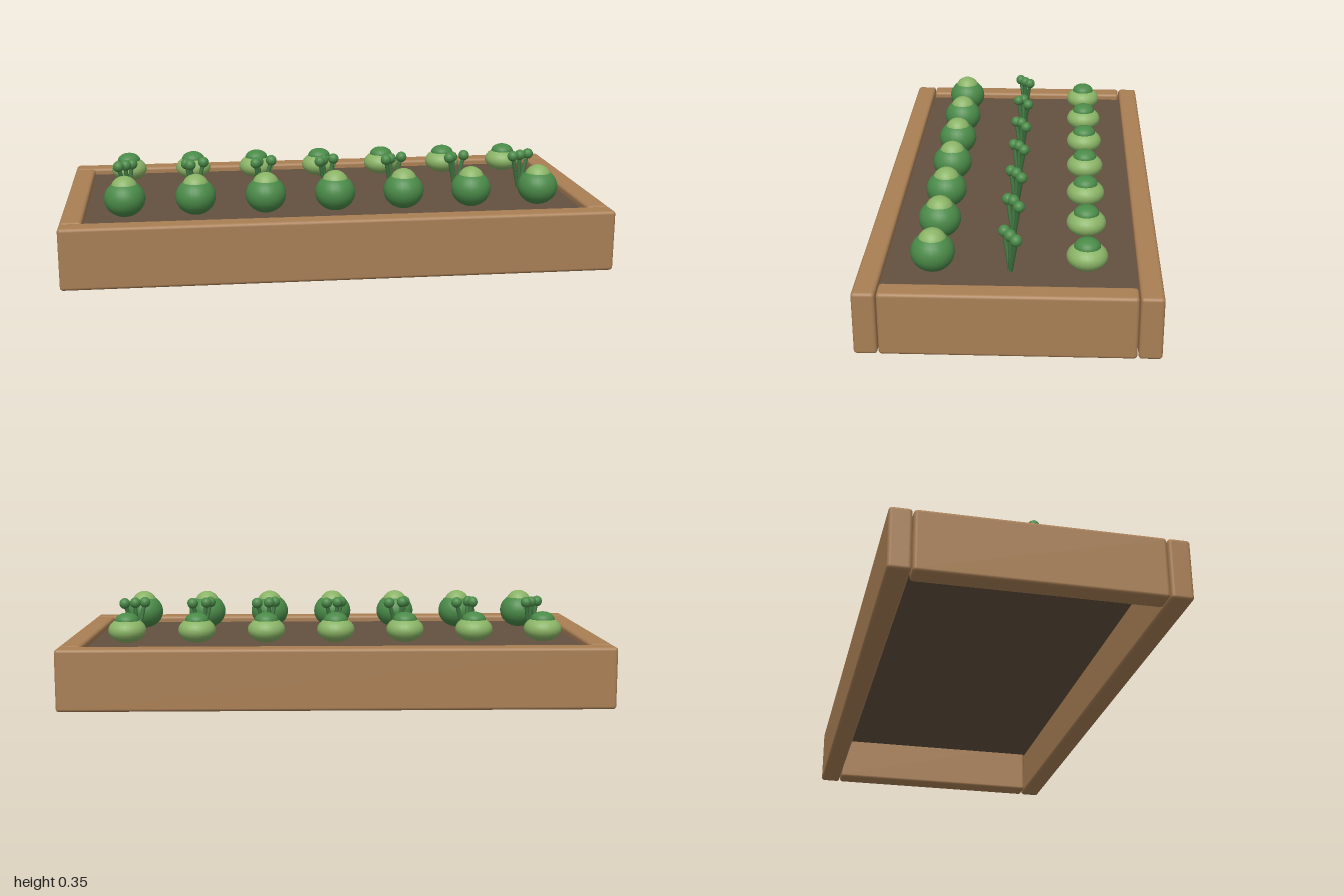
import * as THREE from 'three';
import { RoundedBoxGeometry } from 'three/addons/geometries/RoundedBoxGeometry.js';

const material = (color) => new THREE.MeshStandardMaterial({ color });

export function createModel() {
  const model = new THREE.Group();
  model.name = 'raisedGardenBed';
  const wood = material(0xa97f55);
  const earth = material(0x64503f);
  const darkLeaf = material(0x4a8a48);
  const lightLeaf = material(0x8ab366);
  const stalkGreen = material(0x3f7540);

  const add = (parent, name, geometry, mat, x, y, z) => {
    const mesh = new THREE.Mesh(geometry, mat);
    mesh.name = name;
    mesh.position.set(x, y, z);
    parent.add(mesh);
    return mesh;
  };

  // Wooden frame: long boards in front and back, short boards between them
  const H = 0.225;
  const longBoard = new RoundedBoxGeometry(2, H, 0.078, 3, 0.012);
  const endBoard = new RoundedBoxGeometry(0.08, H, 0.845, 3, 0.012);
  add(model, 'frontBoard', longBoard, wood, 0, H / 2, 0.465);
  add(model, 'backBoard', longBoard, wood, 0, H / 2, -0.465);
  add(model, 'leftBoard', endBoard, wood, 0.96, H / 2, 0);
  add(model, 'rightBoard', endBoard, wood, -0.96, H / 2, 0);

  // Soil slab, open underneath
  add(model, 'soil', new THREE.BoxGeometry(1.86, 0.03, 0.86), earth, 0, 0.185, 0);

  // A head of leaves: a squashed ball with a smaller ball on top
  const ball = new THREE.SphereGeometry(1, 24, 16);
  const head = (name, x, z, body, heart) => {
    const plant = new THREE.Group();
    plant.name = name;
    plant.position.set(x, 0, z);
    add(plant, 'outerLeaves', ball, body.mat, 0, body.y, 0).scale.set(body.r, body.h, body.r);
    add(plant, 'heart', ball, heart.mat, 0, heart.y, 0).scale.set(heart.r, heart.h, heart.r);
    model.add(plant);
  };

  // A sprout: three stalks fanning out from one root, each with a round bud
  const up = new THREE.Vector3(0, 1, 0);
  const bud = new THREE.SphereGeometry(0.021, 16, 12);
  const sprout = (x, tips) => {
    const plant = new THREE.Group();
    plant.name = 'sprout';
    plant.position.set(x, 0.19, 0);
    tips.forEach(([tx, tz]) => {
      const tip = new THREE.Vector3(tx, 0.142, tz);
      const stalk = add(plant, 'stalk', new THREE.CylinderGeometry(0.008, 0.007, tip.length(), 8),
        stalkGreen, tx / 2, tip.y / 2, tz / 2);
      stalk.quaternion.setFromUnitVectors(up, tip.clone().normalize());
      add(plant, 'bud', bud, darkLeaf, tip.x, tip.y, tip.z);
    });
    model.add(plant);
  };

  // Sideways lean of the front, middle and rear stalk of each sprout
  const leans = [
    [-0.03, -0.003, 0.02], [-0.015, -0.03, 0.036], [-0.021, -0.01, 0.043], [-0.029, -0.014, 0.029],
    [-0.026, -0.004, 0.042], [-0.031, -0.016, 0.036], [-0.032, 0.003, 0.041],
  ];

  // Three rows of seven plants
  leans.forEach((lean, i) => {
    const x = (i - 3) * 0.258;
    head('cabbage', x, 0.26,
      { mat: darkLeaf, r: 0.075, h: 0.068, y: 0.268 },
      { mat: lightLeaf, r: 0.05, h: 0.048, y: 0.303 });
    sprout(x, lean.map((tx, k) => [tx, 0.021 * (1 - k)]));
    head('lettuce', x, -0.257,
      { mat: lightLeaf, r: 0.07, h: 0.047, y: 0.26 },
      { mat: darkLeaf, r: 0.045, h: 0.03, y: 0.295 });
  });

  return model;
}
